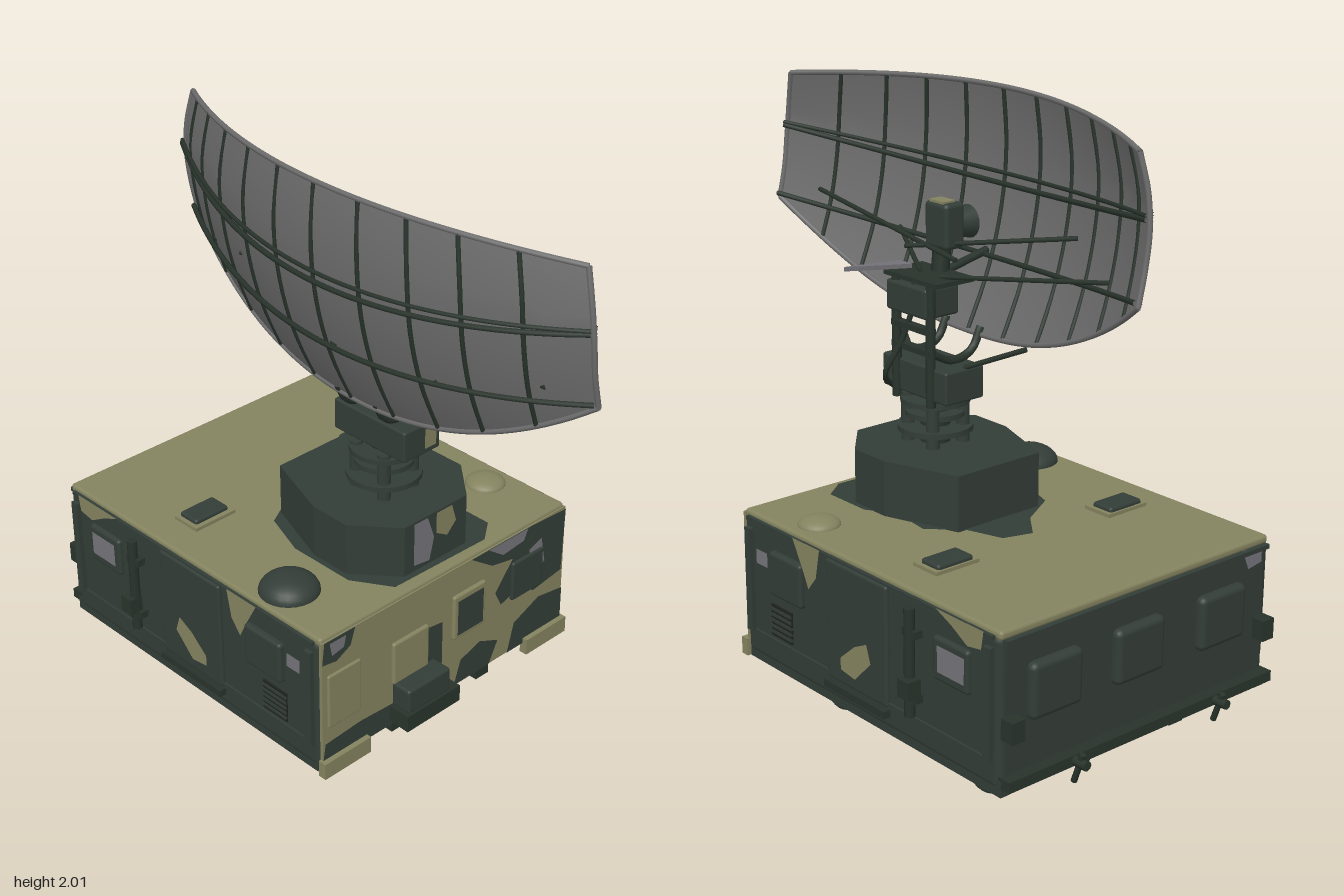
import * as THREE from 'three';
import { RoundedBoxGeometry } from 'three/addons/geometries/RoundedBoxGeometry.js';
import { ParametricGeometry } from 'three/addons/geometries/ParametricGeometry.js';

const mat = (name, color, side = THREE.FrontSide) => {
  const m = new THREE.MeshStandardMaterial({ color, side });
  m.name = name;
  return m;
};
const V = (x, y, z) => new THREE.Vector3(x, y, z);

export function createModel() {
  const tan = mat('camo tan', 0x84835f), green = mat('camo dark green', 0x333d37);
  const grey = mat('camo grey', 0x74737a), mesh = mat('reflector grey', 0x6e6d6e, THREE.DoubleSide);
  const frame = mat('frame green', 0x28332b), black = mat('underside black', 0x1f2322);
  const root = new THREE.Group();
  root.name = 'radarTrailer';

  const add = (name, geo, m, parent = root) => {
    const o = new THREE.Mesh(geo, m);
    o.name = name;
    parent.add(o);
    return o;
  };
  const box = (name, m, w, h, d, x, y, z, parent, r = 0) => {
    const o = add(name, r ? new RoundedBoxGeometry(w, h, d, 2, r) : new THREE.BoxGeometry(w, h, d), m, parent);
    o.position.set(x, y, z);
    return o;
  };
  const cyl = (name, m, r, h, x, y, z, parent, r2 = r) => {
    const o = add(name, new THREE.CylinderGeometry(r2, r, h, 24), m, parent);
    o.position.set(x, y, z);
    return o;
  };
  const rod = (name, m, a, b, r, parent) => {
    const o = add(name, new THREE.CylinderGeometry(r, r, a.distanceTo(b), 8), m, parent);
    o.position.copy(a).lerp(b, 0.5);
    o.quaternion.setFromUnitVectors(V(0, 1, 0), b.clone().sub(a).normalize());
    return o;
  };
  const tube = (name, m, pts, r, parent) =>
    add(name, new THREE.TubeGeometry(new THREE.CatmullRomCurve3(pts), pts.length * 3, r, 6), m, parent);
  // Painted camouflage blob on the local xy plane of a wall
  const patch = (name, m, pts, parent, z = 0.002, s = 1) => {
    const shape = new THREE.Shape();
    const v = pts.map(([x, y]) => new THREE.Vector2(x * s, y));
    v.forEach((p, i) => (i ? shape.lineTo(p.x, p.y) : shape.moveTo(p.x, p.y)));
    const o = add(name, new THREE.ShapeGeometry(shape), m, parent);
    o.position.z = z;
    return o;
  };
  const rect = (x0, y0, x1, y1) => [[x0, y0], [x1, y0], [x1, y1], [x0, y1]];
  // A group whose local xy plane lies on one wall of the cabin
  const wall = (name, ry, x, z) => {
    const g = new THREE.Group();
    g.name = name;
    g.rotation.y = ry;
    g.position.set(x, 0, z);
    root.add(g);
    return g;
  };

  // Cabin
  box('cabinBody', green, 1.13, 0.49, 1.25, 0, 0.425, -0.255, root, 0.025);
  box('roof', tan, 1.12, 0.03, 1.25, 0, 0.668, -0.255, root, 0.012);
  box('chassisFrame', black, 1.06, 0.04, 1.18, 0, 0.18, -0.26);
  for (const s of [1, -1]) {
    box('sideSill', green, 0.035, 0.05, 1.24, s * 0.545, 0.19, -0.265);
    box('chassisRail', frame, 0.06, 0.04, 1.2, s * 0.2, 0.155, -0.25);
    box('stepBox', green, 0.1, 0.05, 0.3, s * 0.48, 0.165, -0.25);
  }

  // Front wall
  const front = wall('frontWall', 0, 0, 0.372);
  box('frontPanel', tan, 1.12, 0.47, 0.012, 0, 0.435, -0.002, front);
  const f = 0.006;
  [
    [[-0.55, 0.67], [-0.42, 0.67], [-0.44, 0.61], [-0.5, 0.58], [-0.56, 0.59]],
    [[-0.56, 0.22], [-0.4, 0.2], [-0.2, 0.2], [-0.22, 0.28], [-0.4, 0.29], [-0.55, 0.28]],
    [[-0.1, 0.28], [-0.03, 0.3], [-0.03, 0.49], [-0.1, 0.5]],
    [[0.1, 0.67], [0.2, 0.6], [0.3, 0.58], [0.22, 0.48], [0.25, 0.42], [0.35, 0.45], [0.41, 0.4], [0.55, 0.42], [0.56, 0.66], [0.4, 0.67]],
    [[0.03, 0.2], [0.2, 0.2], [0.24, 0.28], [0.15, 0.32], [0.06, 0.29]],
    [[0.29, 0.2], [0.56, 0.2], [0.56, 0.34], [0.44, 0.36], [0.32, 0.31]],
  ].forEach(p => patch('frontGreenCamo', green, p, front, f));
  [
    [[0.18, 0.67], [0.37, 0.67], [0.35, 0.63], [0.25, 0.62]],
    [[0.38, 0.58], [0.44, 0.6], [0.46, 0.5], [0.4, 0.49]],
    [[-0.53, 0.66], [-0.46, 0.66], [-0.47, 0.62], [-0.52, 0.61]],
  ].forEach(p => patch('frontGreyCamo', grey, p, front, f + 0.002));
  box('frontWindowFrame', tan, 0.15, 0.17, 0.02, 0.09, 0.48, 0.006, front, 0.008);
  patch('frontWindow', green, rect(0.03, 0.41, 0.15, 0.545), front, 0.018);
  box('leftCover', tan, 0.16, 0.16, 0.02, -0.18, 0.44, 0.006, front, 0.008);
  box('sideCover', tan, 0.14, 0.2, 0.014, -0.47, 0.44, 0.006, front, 0.006);
  box('rightCover', green, 0.15, 0.15, 0.02, 0.37, 0.49, 0.006, front, 0.008);
  box('toolCarrier', frame, 0.24, 0.06, 0.1, -0.15, 0.25, 0.04, front);
  box('toolBox', green, 0.19, 0.09, 0.08, -0.16, 0.32, 0.04, front, 0.01);
  for (const s of [1, -1]) box('bumper', tan, 0.2, 0.06, 0.03, s * 0.47, 0.19, 0.01, front);

  // Long walls, mirrored
  for (const s of [1, -1]) {
    const g = wall(s > 0 ? 'leftWall' : 'rightWall', s * Math.PI / 2, s * 0.566, 0);
    const b = (name, m, w, h, d, u, y, z = 0, r = 0) => box(name, m, w, h, d, u * s, y, z, g, r);
    b('door', green, 0.3, 0.4, 0.026, 0.235, 0.46, 0, 0.01);
    b('doorStep', frame, 0.3, 0.025, 0.05, 0.235, 0.24);
    b('windowCover', green, 0.17, 0.15, 0.04, -0.125, 0.515, 0, 0.012);
    b('rearWindowFrame', green, 0.16, 0.14, 0.03, 0.68, 0.515, 0, 0.012);
    patch('rearWindow', grey, rect(0.625, 0.475, 0.745, 0.56), g, 0.016, s);
    b('vent', black, 0.11, 0.11, 0.01, -0.165, 0.345);
    for (let i = 0; i < 5; i++) b('ventSlat', green, 0.11, 0.01, 0.016, -0.165, 0.305 + i * 0.02);
    rod('antennaPipe', frame, V(s * 0.51, 0.29, 0.025), V(s * 0.51, 0.64, 0.025), 0.017, g);
    b('pipeClamp', frame, 0.06, 0.025, 0.04, 0.51, 0.35, 0.01);
    b('pipeClamp', frame, 0.06, 0.025, 0.04, 0.51, 0.56, 0.01);
    b('sideLug', frame, 0.05, 0.06, 0.05, 0.52, 0.39, 0.035);
    for (const y of [0.27, 0.66]) b('wallTrim', green, 1.2, 0.014, 0.012, 0.255, y);
    for (const u of [-0.33, 0.84]) b('cornerPost', green, 0.03, 0.36, 0.03, u, 0.45);
    patch('tanCamo', tan, [[-0.09, 0.67], [0.05, 0.67], [0.03, 0.57], [-0.01, 0.52], [-0.04, 0.58]], g, 0.008, s);
    patch('tanCamo', tan, [[0.61, 0.67], [0.82, 0.67], [0.81, 0.61], [0.75, 0.6], [0.68, 0.64]], g, 0.008, s);
    patch('doorCamo', tan, [[0.16, 0.31], [0.23, 0.3], [0.31, 0.38], [0.29, 0.44], [0.23, 0.41], [0.16, 0.35]], g, 0.015, s);
    patch('greyCamo', grey, [[-0.29, 0.52], [-0.23, 0.52], [-0.23, 0.57], [-0.29, 0.57]], g, 0.008, s);
  }

  // Back wall
  const back = wall('backWall', Math.PI, 0, -0.88);
  for (const u of [-0.36, -0.02, 0.34]) box('backCover', green, 0.2, 0.18, 0.06, u, 0.47, 0, back, 0.02);
  box('backBeam', frame, 1.12, 0.035, 0.05, 0, 0.21, 0.015, back);
  box('backTrim', green, 1.1, 0.015, 0.03, 0, 0.65, 0, back);
  patch('backGreyCamo', grey, [[0.44, 0.66], [0.53, 0.65], [0.53, 0.6], [0.47, 0.59]], back);
  for (const s of [1, -1]) {
    rod('towHook', frame, V(s * 0.3, 0.21, 0), V(s * 0.3, 0.21, 0.09), 0.016, back);
    rod('towHookTip', frame, V(s * 0.3, 0.14, 0.035), V(s * 0.3, 0.24, 0.07), 0.01, back);
    box('backLamp', frame, 0.05, 0.07, 0.05, s * 0.53, 0.38, 0.02, back);
  }

  // Roof fittings
  for (const s of [1, -1]) {
    box('hatchRim', tan, 0.17, 0.014, 0.11, s * 0.36, 0.688, -0.405);
    box('hatch', green, 0.14, 0.03, 0.085, s * 0.36, 0.695, -0.41, root, 0.01);
  }
  const dome = (name, m, r, h, x, z) => {
    const o = add(name, new THREE.SphereGeometry(r, 24, 8, 0, Math.PI * 2, 0, Math.PI / 2), m);
    o.scale.y = h / r;
    o.position.set(x, 0.682, z);
  };
  dome('ventDome', green, 0.1, 0.06, -0.445, 0.105);
  dome('smallDome', tan, 0.07, 0.03, 0.46, 0.1);
  const roofPaint = patch('roofCamo', green, [[-0.2, -0.33], [0.2, -0.34], [0.28, -0.28], [0.28, -0.1], [0.22, 0],
    [0.24, 0.15], [0.14, 0.25], [0.1, 0.37], [0, 0.4], [-0.08, 0.3], [-0.22, 0.22], [-0.28, 0.05], [-0.28, -0.2]], root, 0);
  roofPaint.rotation.x = -Math.PI / 2;
  roofPaint.position.y = 0.686;

  // Wheels in pairs on two axles
  for (const z of [0.12, -0.6]) {
    rod('axle', frame, V(-0.37, 0.1, z), V(0.37, 0.1, z), 0.025);
    for (const s of [1, -1]) {
      box('spring', frame, 0.04, 0.03, 0.3, s * 0.2, 0.13, z);
      for (const x of [0.27, 0.36]) {
        const tyre = [[0.001, -0.03], [0.085, -0.032], [0.1, -0.02], [0.1, 0.02], [0.085, 0.032], [0.001, 0.03]]
          .map(p => new THREE.Vector2(...p));
        const w = add('wheel', new THREE.LatheGeometry(tyre, 28), green);
        w.rotation.z = Math.PI / 2;
        w.position.set(s * x, 0.1, z);
      }
    }
  }

  // Turntable housing
  const half = [[0.17, -0.24], [0.26, 0.02], [0.26, 0.17], [0.14, 0.31]];
  const outline = [...half, ...half.map(([x, z]) => [-x, z]).reverse()];
  const house = add('turntableHousing', new THREE.ExtrudeGeometry(
    new THREE.Shape(outline.map(([x, z]) => new THREE.Vector2(x, -z))), { depth: 0.19, bevelEnabled: false }), green);
  house.rotation.x = -Math.PI / 2;
  house.position.y = 0.68;
  patch('housingGreyCamo', grey, [[-0.1, 0.71], [-0.03, 0.7], [-0.01, 0.78], [-0.04, 0.865], [-0.1, 0.865]], root, 0.313);
  patch('housingTanCamo', tan, [[0, 0.79], [0.05, 0.76], [0.09, 0.8], [0.07, 0.865], [0, 0.865]], root, 0.313);

  // Rotating neck
  const cz = 0.075;
  cyl('neckCore', frame, 0.05, 0.18, 0, 0.96, cz);
  [[0.92, 0.125], [0.97, 0.1], [1.015, 0.115]].forEach(([y, r]) => cyl('neckRing', green, r, 0.018, 0, y, cz));
  for (let i = 0; i < 4; i++) {
    const a = Math.PI / 4 + i * Math.PI / 2;
    cyl('neckPost', green, 0.022, 0.17, 0.09 * Math.cos(a), 0.95, cz + 0.09 * Math.sin(a));
  }
  box('driveBox', green, 0.16, 0.11, 0.32, 0.01, 1.095, 0.075, root, 0.008);
  patch('driveBoxCamo', tan, rect(0.02, 1.06, 0.07, 1.13), root, 0.237);
  for (const z of [-0.01, 0.16]) {
    rod('yokePost', frame, V(0.09, 1.02, z), V(0.09, 1.42, z), 0.016);
    tube('yokeArm', frame, [V(0.09, 1.2, z), V(0, 1.16, z), V(-0.08, 1.18, z), V(-0.12, 1.25, z)], 0.014);
  }
  for (const y of [1.2, 1.27, 1.34]) box('yokeRung', frame, 0.03, 0.02, 0.19, 0.09, y, 0.075);

  // Reflector, a shallow curved surface cut low at the sides
  const dishX = (s, y) => -0.28 + 0.46 * (y - 1.82) ** 2 + 0.245 * s * s - 0.035 * s;
  const dishP = (s, y, off = 0) =>
    V(dishX(s, y) + off, y, 0.045 + 0.91 * s * (1 - 0.28 * Math.max(0, y - 1.8)));
  const low = s => 1.225 + 0.3 * Math.abs(s) ** 2.2, high = s => 2 - 0.04 * s * s;
  const dish = new THREE.Group();
  dish.name = 'reflectorAssembly';
  root.add(dish);
  add('reflector', new ParametricGeometry((u, v, t) => {
    const s = u * 2 - 1;
    t.copy(dishP(s, THREE.MathUtils.lerp(low(s), high(s), v)));
  }, 40, 16), mesh, dish);
  const steps = Array.from({ length: 21 }, (_, i) => i / 10 - 1);
  const along = (name, m, fn, r, off) => tube(name, m, steps.map(s => dishP(s, fn(s), off)), r, dish);
  const upright = (name, m, s, r) => tube(name, m,
    [0, 0.25, 0.5, 0.75, 1].map(t => dishP(s, THREE.MathUtils.lerp(low(s), high(s), t))), r, dish);
  along('topRim', mesh, high, 0.009, 0);
  along('bottomRim', mesh, low, 0.009, 0);
  for (const s of [-1, 1]) upright('endRim', mesh, s, 0.009);
  for (const z of [0.77, 0.59, 0.42, 0.24, 0.05, -0.13, -0.31, -0.48, -0.64, -0.78])
    upright('rib', frame, (z - 0.045) / 0.91, 0.008);
  for (const off of [0.014, -0.014]) {
    along('upperBeam', frame, s => 1.69 + 0.085 * s * s, 0.009, off);
    along('upperBeamTwin', frame, s => 1.725 + 0.06 * s * s, 0.007, off);
    along('lowerBeam', frame, s => 1.46 + 0.08 * s * s, 0.009, off);
  }
  // Struts from the reflector to the neck and the feed
  rod('lowerStrut', frame, V(-0.08, 1.24, 0.38), V(0.0, 1.15, 0.2), 0.009, dish);
  rod('lowerStrut', frame, V(-0.08, 1.24, -0.27), V(0.0, 1.15, -0.07), 0.009, dish);
  rod('feedStrut', frame, dishP(0.85, 1.565), V(0.02, 1.5, -0.05), 0.008, dish);
  rod('feedStrut', frame, dishP(0.48, 1.48), V(0.04, 1.44, 0.1), 0.008, dish);
  rod('feedStrut', frame, dishP(-0.47, 1.6), V(0.02, 1.5, 0.2), 0.008, dish);
  rod('feedStrut', frame, dishP(-0.75, 1.53), V(0.04, 1.44, 0.0), 0.008, dish);
  rod('backBrace', frame, dishP(0.04, 1.47), V(0.09, 1.4, 0.075), 0.014, dish);
  tube('cable', frame, [V(0.06, 1.03, 0.2), V(0.14, 1.1, 0.16), V(0.1, 1.22, 0.12), V(0.08, 1.35, 0.08)], 0.01);

  // Feed unit
  box('feedBase', green, 0.14, 0.1, 0.2, 0.04, 1.36, 0.09, root, 0.01);
  box('feedPlate', frame, 0.16, 0.015, 0.26, 0.03, 1.43, 0.07);
  rod('feedColumn', frame, V(-0.02, 1.42, 0.075), V(-0.03, 1.52, 0.075), 0.03);
  box('feedHousing', green, 0.08, 0.15, 0.11, -0.04, 1.585, 0.075, root, 0.015);
  box('feedHousingCap', tan, 0.05, 0.008, 0.07, -0.03, 1.662, 0.075);
  const horn = cyl('feedHorn', green, 0.055, 0.08, -0.1, 1.58, 0.075, root, 0.035);
  horn.rotation.z = -Math.PI / 2;
  const vane = add('pointerVane', new THREE.ExtrudeGeometry(new THREE.Shape(
    [[0, -0.03], [0.2, -0.01], [0.25, 0], [0.2, 0.01], [0, 0.03]].map(p => new THREE.Vector2(...p))),
    { depth: 0.014, bevelEnabled: false }), grey);
  vane.rotation.set(-Math.PI / 2, -0.1, 0);
  vane.position.set(0.05, 1.445, 0.16);
  return root;
}
